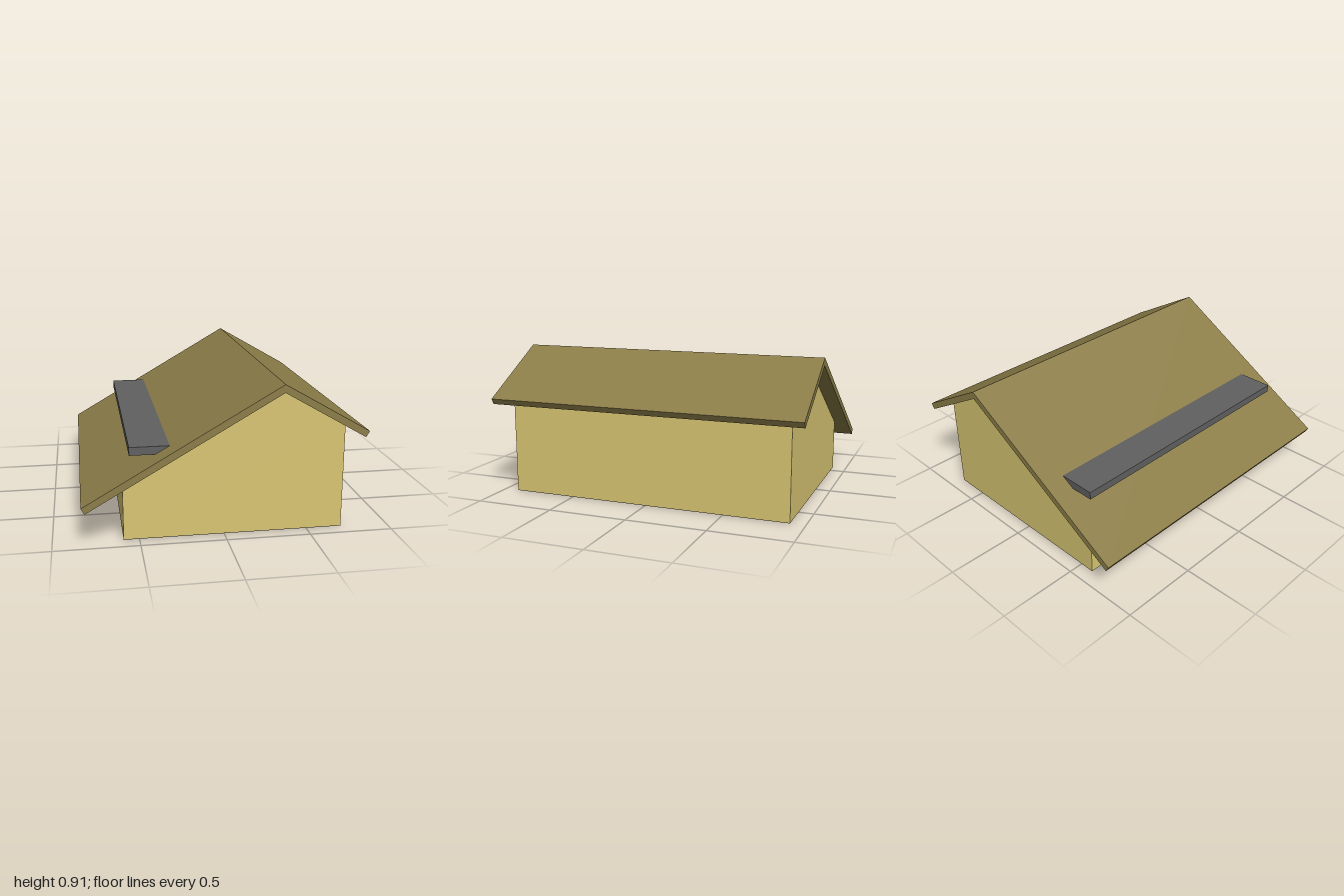
import * as THREE from 'three';

const material = (color) => new THREE.MeshStandardMaterial({ color, flatShading: true });

// Extrudes an x-y outline along z, centred on z = 0
function prism(name, points, depth, mat) {
  const shape = new THREE.Shape(points.map(([x, y]) => new THREE.Vector2(x, y)));
  const geometry = new THREE.ExtrudeGeometry(shape, { depth, bevelEnabled: false });
  geometry.translate(0, 0, -depth / 2);
  const mesh = new THREE.Mesh(geometry, mat);
  mesh.name = name;
  return mesh;
}

export function createModel() {
  const group = new THREE.Group();
  group.name = 'house';
  const wallMat = material(0xd9c673);
  const roofMat = material(0x8b7d48);
  const greyMat = material(0x606060);

  const ridgeX = 0.323, wallLeft = 0.715, wallRight = -0.592;
  const slope = Math.tan(Math.PI / 6);
  const outer = (x) => 0.911 - slope * Math.abs(x - ridgeX);
  const inner = (x) => outer(x) - 0.048;

  // Gabled body, with its top following the underside of the roof
  const floorTop = 0.003;
  group.add(prism('walls', [
    [wallRight, floorTop], [wallLeft, floorTop], [wallLeft, inner(wallLeft)],
    [ridgeX, inner(ridgeX)], [wallRight, inner(wallRight)],
  ], 1.814, wallMat));

  // Thin floor slab
  group.add(prism('floor', [
    [wallRight, 0], [wallLeft, 0], [wallLeft, floorTop], [wallRight, floorTop],
  ], 1.814, greyMat));

  // Asymmetric roof with square-cut eaves, one slope on each side of the ridge
  for (const [name, eaveTop, eaveBottom] of [['longRoofSlope', -0.831, -0.81], ['shortRoofSlope', 0.829, 0.808]]) {
    group.add(prism(name, [
      [ridgeX, inner(ridgeX)], [eaveBottom, inner(eaveBottom)],
      [eaveTop, outer(eaveTop)], [ridgeX, outer(ridgeX)],
    ], 2, roofMat));
  }

  // Flat canopy growing out of the long slope
  group.add(prism('canopy', [
    [-0.547, 0.495], [-0.37, 0.495], [-0.29, 0.544], [-0.547, 0.544],
  ], 1.724, greyMat));

  return group;
}
